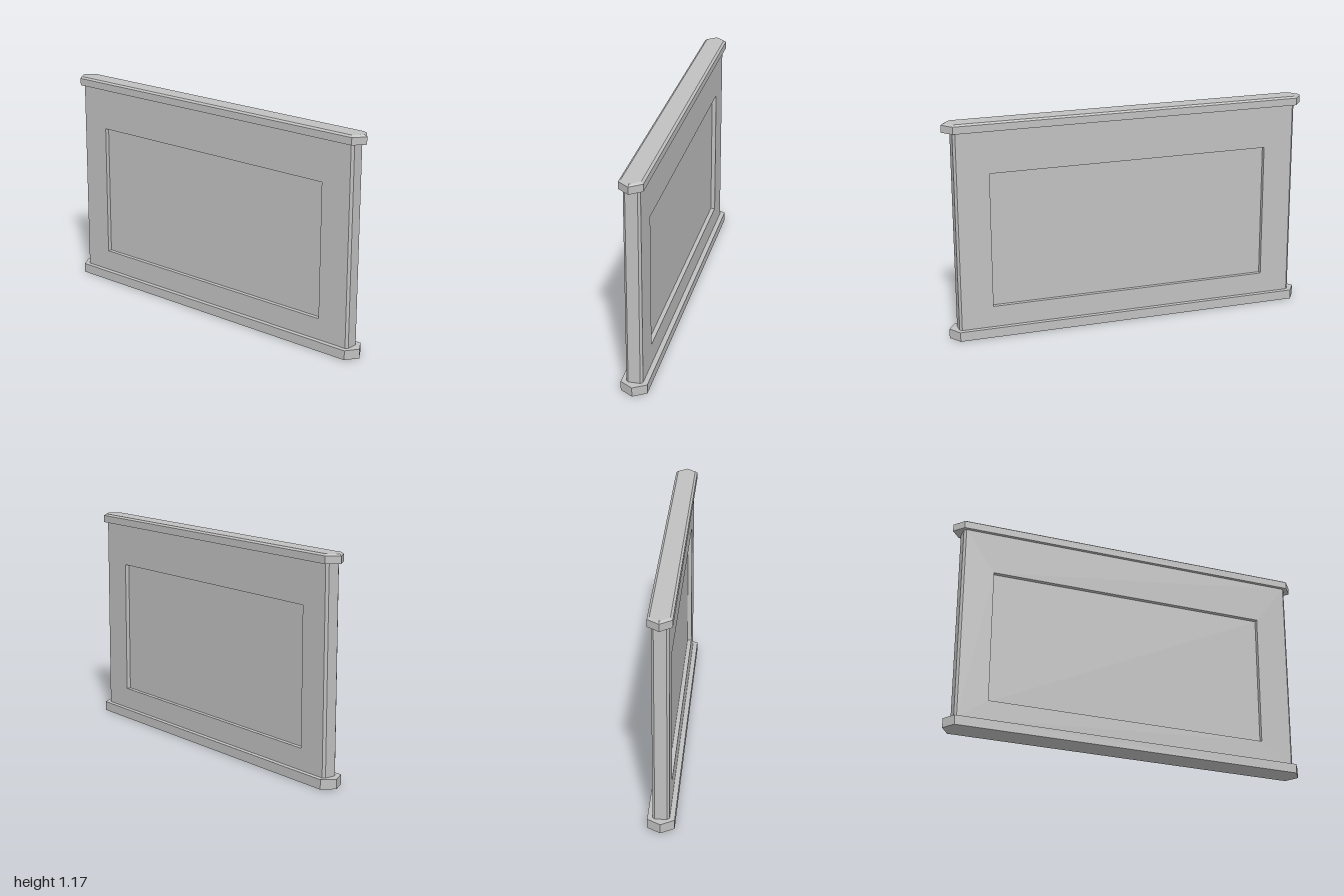
import * as THREE from 'three';
import { ConvexGeometry } from 'three/addons/geometries/ConvexGeometry.js';

const stone = new THREE.MeshStandardMaterial({ color: 0xc0c0c0 });
stone.name = 'greyStone';

// Long slab with pointed ends; each level is [y, tip x, shoulder x, half depth]
function pointedSlab(levels) {
  const points = [];
  for (const [y, tip, shoulder, depth] of levels) {
    for (const side of [-1, 1]) {
      points.push(new THREE.Vector3(side * tip, y, 0));
      for (const face of [-1, 1]) points.push(new THREE.Vector3(side * shoulder, y, face * depth));
    }
  }
  return new ConvexGeometry(points);
}

function rectangle(target, x0, y0, x1, y1) {
  target.moveTo(x0, y0);
  target.lineTo(x1, y0);
  target.lineTo(x1, y1);
  target.lineTo(x0, y1);
  target.closePath();
  return target;
}

// Frame with a rectangular opening and chamfered upright corners
function frameGeometry() {
  const halfWidth = 0.949, chamfer = 0.012;
  const outline = rectangle(new THREE.Shape(), -halfWidth, 0.051, halfWidth, 1.126);
  outline.holes.push(rectangle(new THREE.Path(), -0.776, 0.166, 0.764, 0.898));
  const geometry = new THREE.ExtrudeGeometry(outline, { depth: 3, steps: 3, bevelEnabled: false });
  const layers = [-0.043, -0.031, 0.031, 0.043];
  const pos = geometry.attributes.position;
  for (let i = 0; i < pos.count; i++) {
    const layer = Math.round(pos.getZ(i));
    const x = pos.getX(i);
    pos.setZ(i, layers[layer]);
    if ((layer === 0 || layer === 3) && Math.abs(x) > 0.9) pos.setX(i, x - Math.sign(x) * chamfer);
  }
  geometry.computeVertexNormals();
  return geometry;
}

export function createModel() {
  const model = new THREE.Group();
  model.name = 'wallSection';
  const add = (name, geometry) => {
    const mesh = new THREE.Mesh(geometry, stone);
    mesh.name = name;
    model.add(mesh);
    return mesh;
  };

  // Plinth and bevelled coping
  add('basePlinth', pointedSlab([[0, 0.997, 0.953, 0.069], [0.051, 0.997, 0.953, 0.069]]));
  add('topCoping', pointedSlab([
    [1.126, 1, 0.952, 0.061],
    [1.165, 1, 0.952, 0.061],
    [1.174, 0.985, 0.944, 0.049],
  ]));

  // Wall with a panel recessed on both faces
  add('wallFrame', frameGeometry());
  const panel = add('recessedPanel', new THREE.BoxGeometry(1.54, 0.732, 0.04));
  panel.position.set(-0.006, 0.532, 0);

  return model;
}
